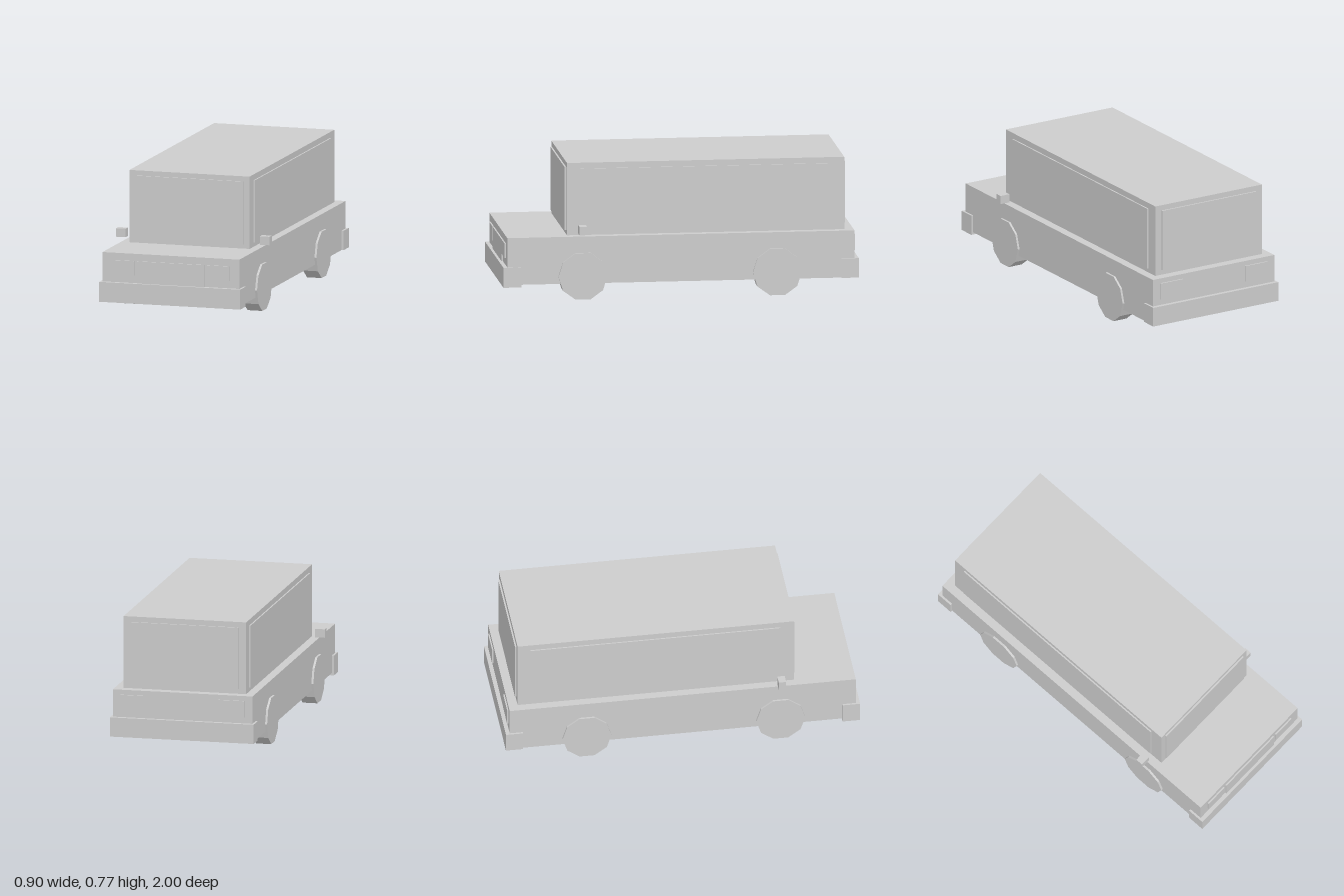
import * as THREE from 'three';

export function createModel() {
  const model = new THREE.Group();
  model.name = 'van';
  const grey = new THREE.MeshStandardMaterial({ color: 0xcccccc });
  grey.name = 'light grey';

  function add(name, geometry, x, y, z) {
    const mesh = new THREE.Mesh(geometry, grey);
    mesh.name = name;
    mesh.position.set(x, y, z);
    model.add(mesh);
  }

  // Box given by its extents on each axis
  function box(name, [x0, x1], [y0, y1], [z0, z1]) {
    add(name, new THREE.BoxGeometry(x1 - x0, y1 - y0, z1 - z0),
      (x0 + x1) / 2, (y0 + y1) / 2, (z0 + z1) / 2);
  }

  // Lower body and cabin
  box('body', [-0.401, 0.401], [0.09, 0.356], [-0.977, 0.977]);
  box('cabin', [-0.352, 0.352], [0.356, 0.766], [-0.925, 0.635]);

  // Windscreen, rear window and grille
  box('windscreen', [-0.32, 0.32], [0.38, 0.737], [0.635, 0.644]);
  box('rearWindow', [-0.311, 0.311], [0.385, 0.735], [-0.934, -0.925]);
  box('grille', [-0.197, 0.197], [0.19, 0.315], [0.977, 0.985]);

  // Bumpers wrap slightly round the sides
  box('frontBumper', [-0.413, 0.413], [0.077, 0.19], [0.9, 1]);
  box('rearBumper', [-0.413, 0.413], [0.09, 0.2], [-1, -0.903]);

  // Ten-sided wheel, lying along x with a flat tread at the bottom
  const wheel = new THREE.CylinderGeometry(0.138, 0.138, 0.086, 10)
    .rotateZ(Math.PI / 2).toNonIndexed();
  wheel.computeVertexNormals();

  // Mirrored parts
  for (const [side, s] of [['left', 1], ['right', -1]]) {
    const span = (a, b) => (s > 0 ? [a, b] : [-b, -a]);
    box(side + 'SideWindow', span(0.352, 0.36), [0.38, 0.733], [-0.853, 0.56]);
    box(side + 'Mirror', span(0.393, 0.45), [0.372, 0.42], [0.535, 0.577]);
    box(side + 'Headlight', span(0.213, 0.343), [0.233, 0.315], [0.977, 0.985]);
    box(side + 'TailLight', span(0.207, 0.355), [0.235, 0.328], [-0.985, -0.977]);
    add(side + 'FrontWheel', wheel, s * 0.37, 0.132, 0.552);
    add(side + 'RearWheel', wheel, s * 0.37, 0.132, -0.542);
  }
  return model;
}
